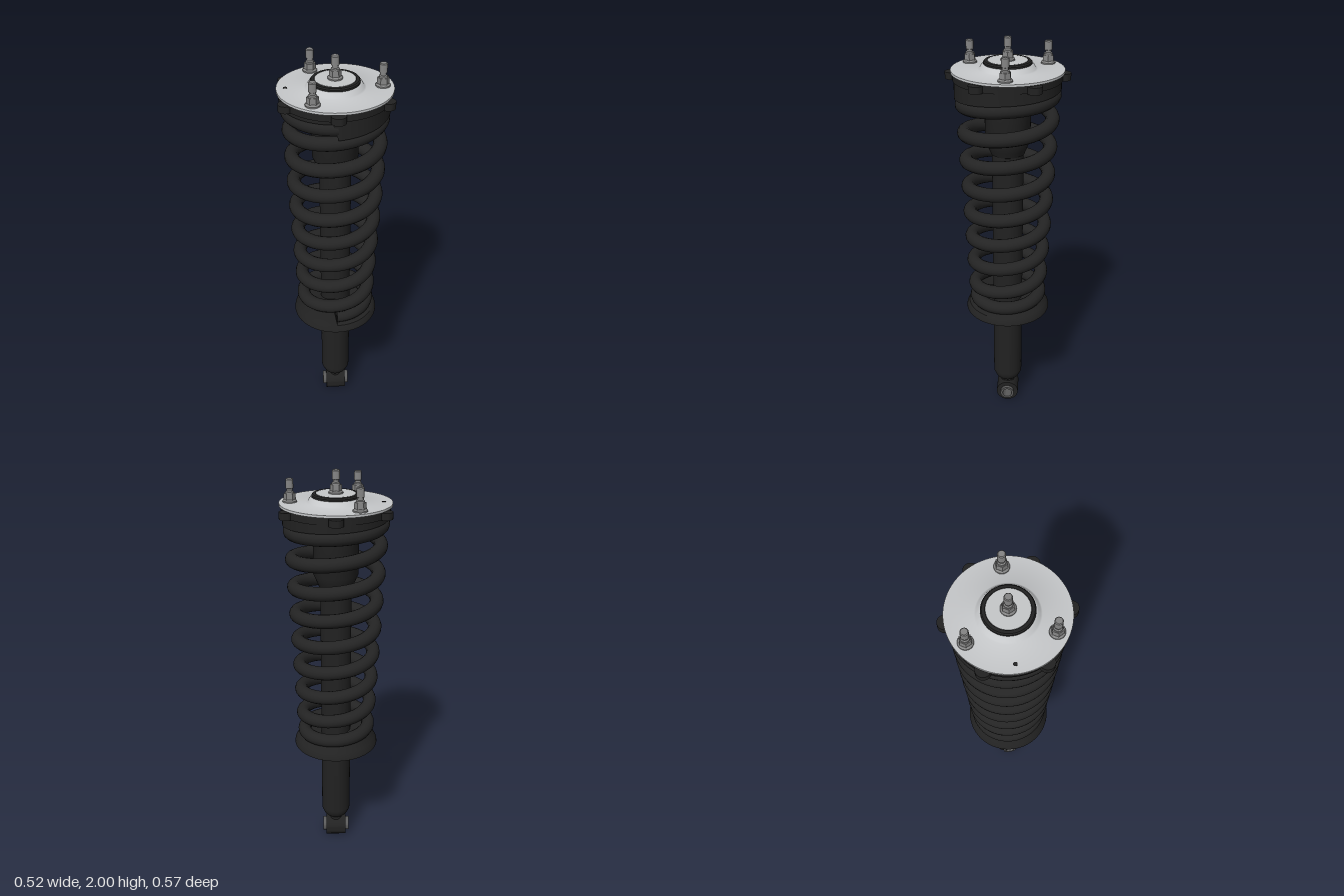
import * as THREE from 'three';
import { toCreasedNormals } from 'three/addons/utils/BufferGeometryUtils.js';

const TAU = Math.PI * 2;
const mat = (name, color) => Object.assign(new THREE.MeshStandardMaterial({ color }), { name });

// Coil height as a function of the turn number: flattened ends, even pitch between
const TURNS = 9, WIRE = 0.033;
const STOPS = [[0, 0.672], [0.25, 0.68], [0.75, 0.712], [1.25, 0.778], [8.25, 1.727], [8.75, 1.762], [9, 1.767]];
function coilHeight(u) {
  for (let i = 1; i < STOPS.length; i++) {
    const [u0, y0] = STOPS[i - 1], [u1, y1] = STOPS[i];
    if (u <= u1) return y0 + (y1 - y0) * (u - u0) / (u1 - u0);
  }
  return STOPS[STOPS.length - 1][1];
}

class CoilCurve extends THREE.Curve {
  getPoint(t, target = new THREE.Vector3()) {
    const u = t * TURNS, a = u * TAU, r = 0.16 + 0.056 * t;
    return target.set(r * Math.sin(a), coilHeight(u), r * Math.cos(a));
  }
}

export function createModel() {
  const model = new THREE.Group();
  model.name = 'coiloverStrut';
  const black = mat('black', 0x222222);
  const springBlack = mat('springBlack', 0x242424);
  const silver = mat('silver', 0xc6c8ca);
  const steel = mat('steel', 0x858585);
  const darkSteel = mat('darkSteel', 0x5a5a5a);

  function add(name, geometry, material, parent = model) {
    const mesh = new THREE.Mesh(geometry, material);
    mesh.name = name;
    parent.add(mesh);
    return mesh;
  }
  // Revolved profile of [radius, y] points, listed upwards on the outside; rule may bend it
  function lathe(points, segments = 64, rule = null) {
    const g = new THREE.LatheGeometry(points.map(p => new THREE.Vector2(...p)), segments);
    if (rule) {
      const pos = g.attributes.position, n = points.length;
      for (let i = 0; i < pos.count; i++) {
        const seg = Math.floor(i / n) % segments; // last column meets the first
        pos.setY(i, pos.getY(i) + rule(seg / segments, i % n));
      }
    }
    return toCreasedNormals(g, 0.6);
  }

  // Damper body with rounded foot and neck
  add('damperBody', lathe([
    [0, 0.1], [0.034, 0.1], [0.034, 0.135], [0.055, 0.14], [0.063, 0.15], [0.074, 0.175],
    [0.075, 0.19], [0.075, 1.82], [0, 1.82],
  ], 48), black);

  // Bump stop around the upper body
  add('bumpStop', lathe([
    [0.07, 1.45], [0.08, 1.455], [0.09, 1.48], [0.107, 1.52], [0.107, 1.81], [0.07, 1.81],
  ], 48), black);

  // Lower eye: rubber ring and metal sleeve across x
  const eye = new THREE.Group();
  eye.name = 'lowerEye';
  eye.position.y = 0.058;
  eye.rotation.z = Math.PI / 2;
  model.add(eye);
  const ring = (inner, outer, half) => lathe([
    [inner, -half], [outer, -half], [outer, half], [inner, half], [inner, -half],
  ], 40);
  add('eyeRing', ring(0.034, 0.058, 0.052), black, eye);
  add('eyeSleeve', ring(0.025, 0.036, 0.07), darkSteel, eye);

  // Lower spring seat: its upper face climbs with the coil, stepping down at the front
  add('lowerSpringSeat', lathe([
    [0.07, 0.605], [0.213, 0.605], [0.211, 0.618], [0.198, 0.638], [0.175, 0.645], [0.1, 0.645], [0.07, 0.645],
  ], 72, (u, k) => (k > 3 ? Math.max(0, coilHeight(u) - 0.675) : 0)), black);

  // Coil spring with flat cut ends
  const curve = new CoilCurve();
  add('coilSpring', new THREE.TubeGeometry(curve, 500, WIRE, 14), springBlack);
  for (const t of [0, 1]) {
    const cap = add('coilEnd', new THREE.CircleGeometry(WIRE, 14), springBlack);
    const p = curve.getPoint(t);
    const dir = curve.getTangent(t).multiplyScalar(t ? 1 : -1);
    cap.position.copy(p);
    cap.lookAt(p.clone().add(dir));
  }

  // Upper isolator: its underside follows the last turn of the coil
  add('upperIsolator', lathe([
    [0.1, 1.8], [0.245, 1.8], [0.245, 1.812], [0.25, 1.812], [0.25, 1.846], [0.1, 1.846], [0.1, 1.8],
  ], 72, (u, k) => (k < 2 || k === 6 ? Math.min(0, coilHeight(8 + u) + 0.03 - 1.8) : 0)), black);

  // Six rounded tabs around the isolator
  for (let i = 0; i < 6; i++) {
    const a = i * TAU / 6;
    const tab = add('isolatorTab', toCreasedNormals(new THREE.CylinderGeometry(0.033, 0.033, 0.032, 28), 0.6), black);
    tab.position.set(0.252 * Math.sin(a), 1.826, 0.252 * Math.cos(a));
  }

  // Top mount plate with raised collar
  add('mountPlate', lathe([
    [0.08, 1.846], [0.258, 1.846], [0.258, 1.857], [0.135, 1.857], [0.128, 1.861], [0.118, 1.877],
    [0.111, 1.881], [0.08, 1.881],
  ], 80), silver);
  add('mountBushing', lathe([
    [0.085, 1.87], [0.11, 1.87], [0.11, 1.889], [0.105, 1.895], [0.092, 1.896], [0.085, 1.89],
  ], 64), black);
  add('mountCap', lathe([[0.09, 1.87], [0.09, 1.896], [0, 1.896]], 64), silver);

  // Small drain hole, as a thin dark disc
  const hole = add('plateHole', new THREE.CylinderGeometry(0.009, 0.009, 0.002, 20), black);
  hole.position.set(-0.217, 1.8575, 0);

  // Four studs with flanged hex nuts
  function stud(x, y, z) {
    const g = new THREE.Group();
    g.name = 'studAndNut';
    g.position.set(x, y, z);
    model.add(g);
    add('nutFlange', lathe([[0, 0], [0.033, 0], [0.033, 0.006], [0.025, 0.013], [0, 0.013]], 32), steel, g);
    const nut = add('hexNut', toCreasedNormals(new THREE.CylinderGeometry(0.026, 0.028, 0.03, 6), 0.4), steel, g);
    nut.position.y = 0.024;
    nut.rotation.y = Math.PI / 6;
    add('stud', lathe([
      [0.02, 0.038], [0.019, 0.046], [0.014, 0.05], [0.014, 0.06], [0.0175, 0.062],
      [0.0175, 0.1], [0.014, 0.104], [0, 0.104],
    ], 24), steel, g);
  }
  for (let i = 0; i < 3; i++) {
    const a = i * TAU / 3;
    stud(0.208 * Math.cos(a), 1.857, 0.208 * Math.sin(a));
  }
  stud(0, 1.896, 0);

  return model;
}
